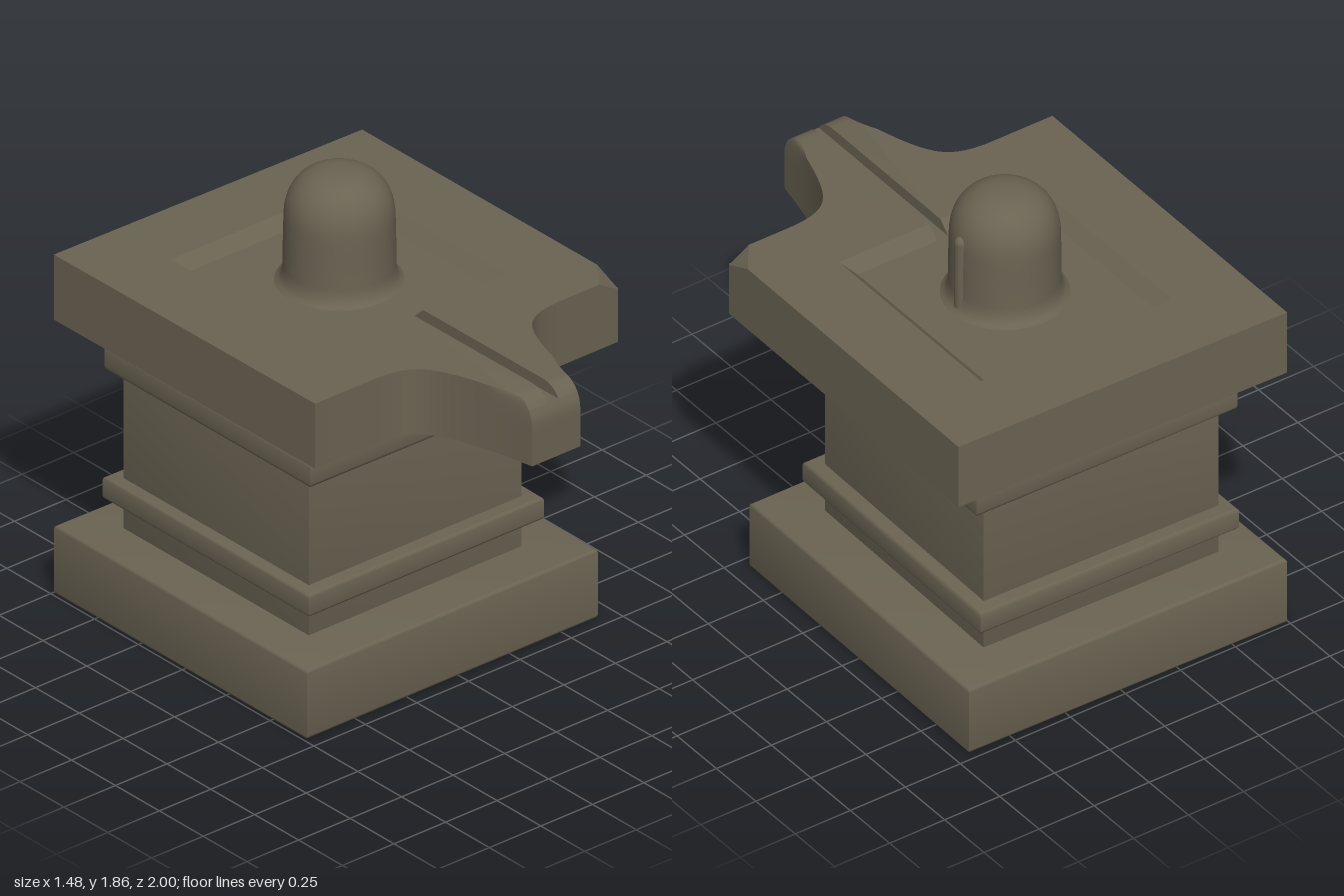
import * as THREE from 'three';
import { toCreasedNormals } from 'three/addons/utils/BufferGeometryUtils.js';

const stone = new THREE.MeshStandardMaterial({ color: 0x6a6352 });
stone.name = 'weathered stone';

function addMesh(parent, name, geometry) {
  const mesh = new THREE.Mesh(geometry, stone);
  mesh.name = name;
  parent.add(mesh);
  return mesh;
}

// Extrudes a plan outline of [x, z] points downwards from the given top
function extrudePlan(points, bottom, top, bevel = 0, steps = 1) {
  const shape = new THREE.Shape(points.map(([x, z]) => new THREE.Vector2(x, z)));
  const geometry = new THREE.ExtrudeGeometry(shape, {
    depth: top - bottom - 2 * bevel, steps,
    bevelEnabled: bevel > 0, bevelSize: bevel, bevelThickness: bevel,
    bevelOffset: -bevel, bevelSegments: 3,
  });
  geometry.rotateX(Math.PI / 2);
  geometry.translate(0, top - bevel, 0);
  return geometry;
}

// Slightly out-of-square block, as hand-cut stone
function block(x0, x1, z0, z1, bottom, top, bevel) {
  const plan = [[x0, z1], [x1 - 0.02, z1], [x1, z0 + 0.02], [x0, z0]];
  return toCreasedNormals(extrudePlan(plan, bottom, top, bevel), 0.6);
}

function moveVertices(geometry, rule) {
  const pos = geometry.attributes.position;
  const p = new THREE.Vector3();
  for (let i = 0; i < pos.count; i++) {
    p.fromBufferAttribute(pos, i);
    rule(p);
    pos.setXYZ(i, p.x, p.y, p.z);
  }
  return toCreasedNormals(geometry, 0.6);
}

// Flared spout edge from the slab front to the tip
const spoutEdge = new THREE.SplineCurve([
  [0.44, 0.49], [0.36, 0.5], [0.29, 0.53], [0.24, 0.585], [0.2, 0.67],
  [0.165, 0.78], [0.14, 0.88], [0.117, 1.0],
].map(([x, z]) => new THREE.Vector2(x, z))).getPoints(28).map((v) => [v.x, v.y]);

const SLAB_BOTTOM = 1.167, FLOOR = 1.395, SLAB_TOP = 1.443;

// Slab plan: from the right of the spout tip round the back to the left
function slabPlan(frontCorner) {
  return [
    ...[...spoutEdge].reverse(),
    ...frontCorner,
    [0.74, -0.975], [-0.735, -1.0], [-0.735, 0.49],
    ...spoutEdge.map(([x, z]) => [-x, z]),
  ];
}

// Rounds the upper edge of the spout tip and tilts the slab a little
function shapeSlab(p) {
  if (p.z > 0.8) {
    const d = THREE.MathUtils.clamp((p.y - 1.33) / (SLAB_TOP - 1.33), 0, 1);
    p.z -= 0.1 * (1 - Math.sqrt(1 - d * d)) * (p.z - 0.8) / 0.2;
  }
  p.y += 0.006 * (p.z - 0.5);
}

function createSlab() {
  const slab = new THREE.Group();
  slab.name = 'spoutedSlab';

  const lower = extrudePlan(slabPlan([[0.735, 0.49]]), SLAB_BOTTOM, FLOOR, 0, 10);
  addMesh(slab, 'slabBody', moveVertices(lower, shapeSlab));

  // Rim with the sunken square, the drain channel and a chipped corner
  const rimPlan = [
    ...slabPlan([[0.645, 0.49], [0.735, 0.37]]),
    [-0.026, 1], [-0.026, 0.21], [-0.435, 0.21], [-0.435, -0.69],
    [0.435, -0.69], [0.435, 0.21], [0.026, 0.21], [0.026, 1],
  ];
  const rim = extrudePlan(rimPlan, FLOOR, SLAB_TOP, 0, 8);
  addMesh(slab, 'slabRim', moveVertices(rim, (p) => {
    const t = (SLAB_TOP - p.y) / (SLAB_TOP - FLOOR);
    if (Math.abs(p.x) < 0.5 && p.z < 0.22) {
      const inset = 0.05 * t;
      p.x = THREE.MathUtils.clamp(p.x, -0.435 + inset, 0.435 - inset);
      p.z = THREE.MathUtils.clamp(p.z, -0.69 + inset, 0.21 - inset);
    } else if (p.x > 0.7 && p.z > 0.3) {
      p.z += 0.11 * t;
    } else if (p.x > 0.6 && p.z > 0.3) {
      p.x += 0.08 * t;
    }
    shapeSlab(p);
  }));
  return slab;
}

function createPillar() {
  const pillar = new THREE.Group();
  pillar.name = 'domedPillar';
  pillar.position.z = -0.235;

  // Flared foot, straight side and a full rounded crown
  const profile = [[0.25, 1.385], [0.228, 1.4], [0.215, 1.425], [0.21, 1.46], [0.21, 1.55]]
    .map(([r, y]) => new THREE.Vector2(r, y));
  for (let i = 0; i <= 18; i++) {
    const a = (i / 18) * Math.PI / 2;
    profile.push(new THREE.Vector2(
      i === 18 ? 0 : 0.208 * Math.cos(a) ** 0.8, 1.64 + 0.22 * Math.sin(a) ** 0.8));
  }
  addMesh(pillar, 'dome', new THREE.LatheGeometry(profile, 56));

  // Raised rib on the side
  const rib = addMesh(pillar, 'sideRib', new THREE.CapsuleGeometry(0.028, 0.3, 6, 12));
  rib.position.set(0.197, 1.545, 0);
  return pillar;
}

export function createModel() {
  const model = new THREE.Group();
  model.name = 'stonePedestal';

  addMesh(model, 'plinth', block(-0.742, 0.69, -0.99, 0.45, 0, 0.293, 0.014));
  addMesh(model, 'shaft', block(-0.562, 0.49, -0.805, 0.25, 0.28, 1.18, 0.01));
  addMesh(model, 'lowerBand', block(-0.613, 0.548, -0.865, 0.31, 0.41, 0.506, 0.014));

  // Upper band sags slightly to one side
  const upperBand = addMesh(model, 'upperBand',
    block(-0.615, 0.556, -0.86, 0.312, 0.952, 1.062, 0.02));
  upperBand.rotation.z = -0.006;

  model.add(createSlab(), createPillar());
  return model;
}
